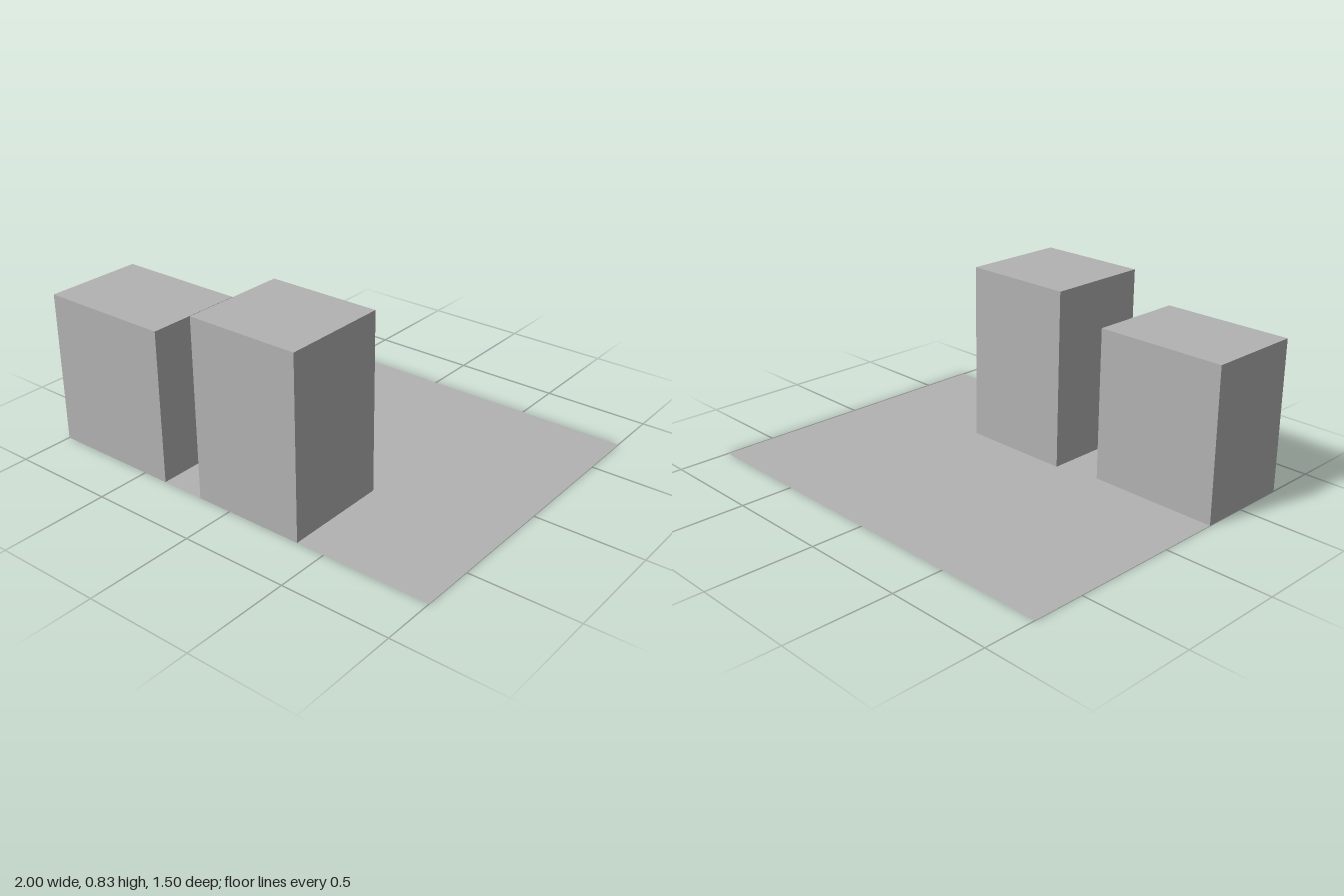
import * as THREE from 'three';

export function createModel() {
  const model = new THREE.Group();
  const grey = new THREE.MeshStandardMaterial({ color: 0xb2b2b2, side: THREE.DoubleSide });
  grey.name = 'plain grey';

  // Flat rectangular ground sheet
  const ground = new THREE.Mesh(new THREE.PlaneGeometry(2, 1.5).rotateX(-Math.PI / 2), grey);
  ground.name = 'groundSheet';
  model.add(ground);

  // Blocks standing flush with the front edge
  const frontEdge = 0.75;
  const addBlock = (name, x0, x1, height, depth) => {
    const block = new THREE.Mesh(new THREE.BoxGeometry(x1 - x0, height, depth), grey);
    block.name = name;
    block.position.set((x0 + x1) / 2, height / 2, frontEdge - depth / 2);
    model.add(block);
  };
  addBlock('lowBlock', -1, -0.375, 0.71, 0.46);
  addBlock('tallBlock', -0.167, 0.365, 0.835, 0.5);

  return model;
}
